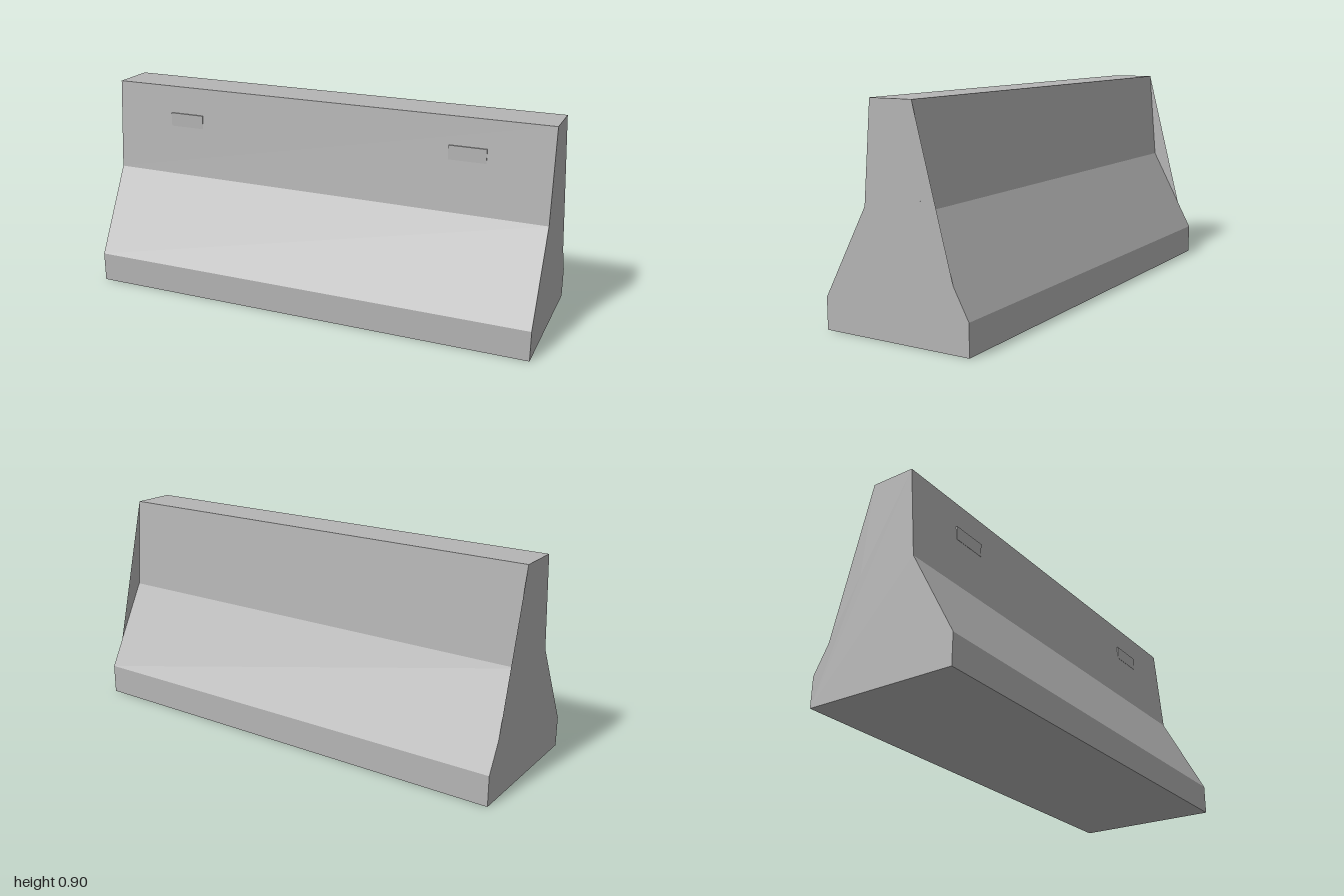
import * as THREE from 'three';

// Closed outline from [depth, height] points
const outline = pts => new THREE.Shape(pts.map(([d, y]) => new THREE.Vector2(d, y)));

export function createModel() {
  const group = new THREE.Group();
  const concrete = new THREE.MeshStandardMaterial({ color: 0xb5b5b5 });
  concrete.name = 'concrete';
  concrete.side = THREE.DoubleSide;

  const add = (name, geometry, x = 0, y = 0, z = 0) => {
    const mesh = new THREE.Mesh(geometry, concrete);
    mesh.name = name;
    mesh.position.set(x, y, z);
    group.add(mesh);
  };

  // Barrier body: symmetric cross-section swept along x
  const half = [[0.33, 0], [0.33, 0.13], [0.13, 0.5], [0.095, 0.9]];
  const mirrored = half.map(([d, y]) => [-d, y]).reverse();
  const body = new THREE.ExtrudeGeometry(outline([...half, ...mirrored]), { depth: 2, bevelEnabled: false });
  body.translate(0, 0, -1).rotateY(Math.PI / 2);
  add('barrierBody', body);

  // Flat end webs filling the hollow of the rear profile, and front marker plates
  for (const side of [-1, 1]) {
    const label = side > 0 ? 'left' : 'right';
    const web = new THREE.ShapeGeometry(outline([[0.095, 0.9], [0.13, 0.5], [0.265, 0.25]]));
    web.rotateY(Math.PI / 2);
    add(label + 'EndWeb', web, side);
    add(label + 'FrontPlate', new THREE.BoxGeometry(0.16, 0.06, 0.009), side * 0.65, 0.75, 0.1075);
  }
  return group;
}
